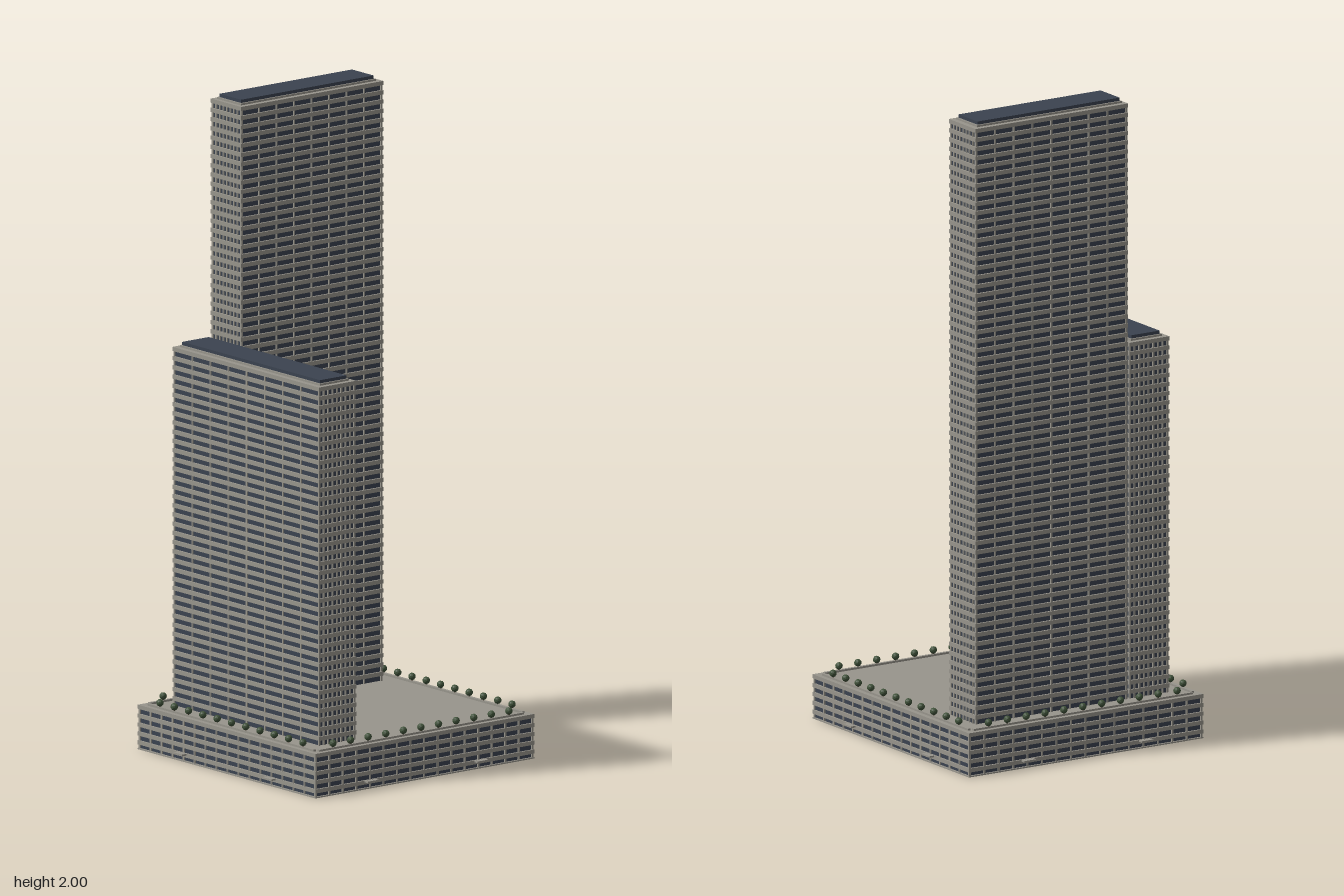
import * as THREE from 'three';

const mat = (name, color, flatShading = false) => {
  const m = new THREE.MeshStandardMaterial({ color, flatShading });
  m.name = name;
  return m;
};

export function createModel() {
  const concrete = mat('concrete', 0x98958c);
  const glass = mat('dark glass', 0x3b4350);
  const leaf = mat('foliage', 0x40523a, true);
  const bark = mat('bark', 0x55473a);
  const model = new THREE.Group();
  model.name = 'twinTowerComplex';

  // box given by its limits on each axis
  function box(parent, name, material, x0, x1, y0, y1, z0, z1) {
    const mesh = new THREE.Mesh(new THREE.BoxGeometry(x1 - x0, y1 - y0, z1 - z0), material);
    mesh.position.set((x0 + x1) / 2, (y0 + y1) / 2, (z0 + z1) / 2);
    mesh.name = name;
    parent.add(mesh);
    return mesh;
  }

  // glass core wrapped in floor slabs and upright fins
  function block(name, x0, x1, y0, y1, z0, z1, floors, bays, band, finWidth) {
    const g = new THREE.Group();
    g.name = name;
    model.add(g);
    const inset = 0.006;
    box(g, 'glassCore', glass, x0 + inset, x1 - inset, y0, y1 - 0.002, z0 + inset, z1 - inset);
    const pitch = (y1 - y0) / floors;
    for (let i = 1; i <= floors; i++) {
      const top = y0 + i * pitch;
      box(g, 'floorSlab', concrete, x0, x1, top - pitch * band, top, z0, z1);
    }
    const h = finWidth / 2, d = 0.002;
    for (let i = 0; i <= bays; i++) {
      const t = i / bays;
      const x = THREE.MathUtils.lerp(x0 + h + d, x1 - h - d, t);
      const z = THREE.MathUtils.lerp(z0 + h + d, z1 - h - d, t);
      box(g, 'frontFin', concrete, x - h, x + h, y0, y1 - 0.002, z1 - inset - d, z1 - d);
      box(g, 'backFin', concrete, x - h, x + h, y0, y1 - 0.002, z0 + d, z0 + inset + d);
      box(g, 'leftFin', concrete, x1 - inset - d, x1 - d, y0, y1 - 0.002, z - h, z + h);
      box(g, 'rightFin', concrete, x0 + d, x0 + inset + d, y0, y1 - 0.002, z - h, z + h);
    }
    return g;
  }

  // stepped roof: concrete collar with a dark plant box on it
  function roof(g, x0, x1, y0, y1, z0, z1) {
    box(g, 'roofCollar', concrete, x0 + 0.016, x1 - 0.016, y0, y0 + 0.006, z0 + 0.016, z1 - 0.016);
    box(g, 'roofPlant', glass, x0 + 0.021, x1 - 0.021, y0, y1, z0 + 0.021, z1 - 0.021);
  }

  // podium
  const P = 0.423, deck = 0.137;
  const podium = block('podium', -P, P, 0, deck, -P, P, 5, 16, 0.45, 0.006);
  box(podium, 'basePlate', concrete, -P, P, 0, 0.004, -P, P);

  // towers
  const tall = block('tallTower', -0.35, -0.205, deck, 1.984, -0.35, 0.2, 65, 8, 0.45, 0.005);
  roof(tall, -0.35, -0.205, 1.984, 2, -0.35, 0.204);
  const low = block('lowTower', -0.35, 0.348, deck, 1.241, 0.204, 0.348, 39, 8, 0.45, 0.005);
  roof(low, -0.35, 0.348, 1.241, 1.257, 0.204, 0.348);

  // each side of the podium: entrance canopies, planter and a row of trees
  const crown = new THREE.IcosahedronGeometry(0.0115, 1);
  const trunk = new THREE.CylinderGeometry(0.0025, 0.003, 0.016, 6);
  for (let s = 0; s < 4; s++) {
    const side = new THREE.Group();
    side.name = 'podiumSide';
    side.rotation.y = s * Math.PI / 2;
    model.add(side);
    for (const x of [-0.212, 0.212])
      box(side, 'canopy', concrete, x - 0.021, x + 0.021, 0.022, 0.027, P - 0.01, P + 0.016);
    box(side, 'planter', concrete, -0.395, 0.395, deck, deck + 0.006, 0.398, 0.408);
    for (let i = 0; i < 11; i++) {
      const tree = new THREE.Group();
      tree.name = 'tree';
      tree.position.set((i - 5) * 0.068, deck, 0.404);
      const stem = new THREE.Mesh(trunk, bark);
      stem.name = 'trunk';
      stem.position.y = 0.008;
      const ball = new THREE.Mesh(crown, leaf);
      ball.name = 'crown';
      ball.position.y = 0.018;
      tree.add(stem, ball);
      side.add(tree);
    }
  }
  return model;
}
